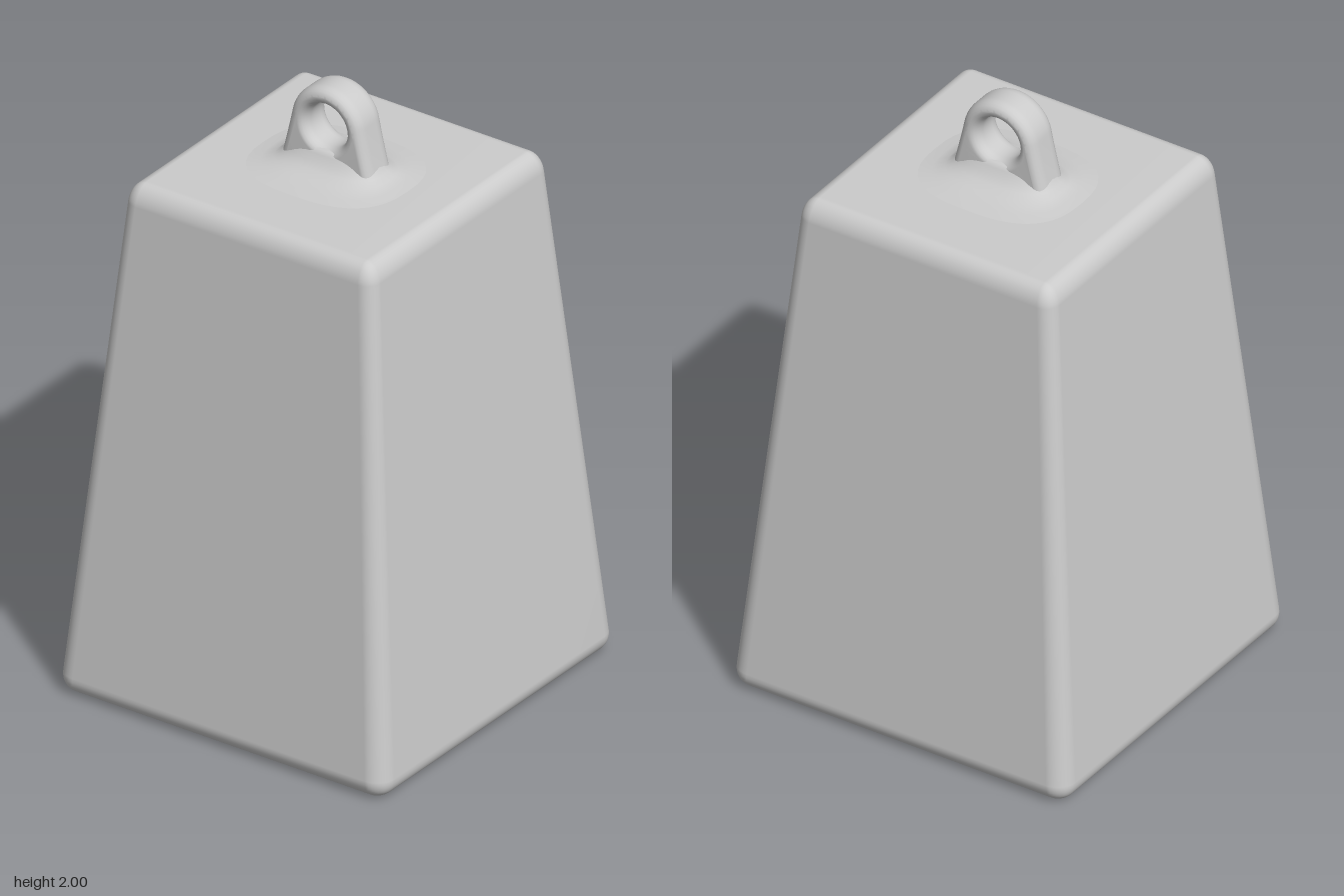
import * as THREE from 'three';
import { mergeVertices } from 'three/addons/utils/BufferGeometryUtils.js';
import { RoundedBoxGeometry } from 'three/addons/geometries/RoundedBoxGeometry.js';

const material = new THREE.MeshStandardMaterial({ color: 0xcccccc });

// Weld the vertices and shade the whole surface smoothly
function smooth(geometry) {
  geometry.deleteAttribute('normal');
  geometry.deleteAttribute('uv');
  geometry.clearGroups();
  const welded = mergeVertices(geometry, 1e-4);
  welded.computeVertexNormals();
  return welded;
}

function addPart(group, name, geometry) {
  const mesh = new THREE.Mesh(geometry, material);
  mesh.name = name;
  group.add(mesh);
}

// Rounded block that narrows towards the top, with a slightly domed underside
function bodyGeometry() {
  const height = 1.71;
  const geo = new RoundedBoxGeometry(1.2, height, 1.2, 5, 0.065);
  geo.translate(0, height / 2, 0);
  const p = geo.attributes.position;
  for (let i = 0; i < p.count; i++) {
    const y = p.getY(i);
    const s = 1.007 - 0.257 * (y / height);
    p.setXYZ(i, p.getX(i) * s, y + 0.004, p.getZ(i) * s);
  }
  return smooth(geo);
}

// Upright eyelet plate with a round hole along x
function eyeletGeometry() {
  const cy = 1.87, r = 0.13, a = 0.2;
  const shape = new THREE.Shape();
  shape.moveTo(-0.17, 1.72);
  shape.quadraticCurveTo(-0.148, 1.8, -r * Math.cos(a), cy + r * Math.sin(a));
  shape.absarc(0, cy, r, Math.PI - a, a, true);
  shape.quadraticCurveTo(0.148, 1.8, 0.17, 1.72);
  shape.closePath();
  const hole = new THREE.Path();
  hole.absarc(0, cy, 0.073, 0, Math.PI * 2, false);
  shape.holes.push(hole);
  const geo = new THREE.ExtrudeGeometry(shape, {
    depth: 0.05, curveSegments: 24, bevelSegments: 5,
    bevelSize: 0.026, bevelOffset: -0.026, bevelThickness: 0.039,
  });
  geo.translate(0, 0, -0.025);
  geo.rotateY(Math.PI / 2);
  return smooth(geo);
}

// Flared fillet that blends the eyelet into the top: rings of [y, half x, half z]
function flareGeometry() {
  const rings = [
    [1.711, 0.25, 0.29], [1.718, 0.18, 0.225], [1.728, 0.13, 0.192], [1.742, 0.1, 0.174],
    [1.76, 0.08, 0.16], [1.78, 0.067, 0.15], [1.793, 0.058, 0.142], [1.795, 0, 0],
  ];
  const n = 40, positions = [], index = [];
  const soft = (v) => Math.sign(v) * Math.pow(Math.abs(v), 0.75);
  rings.forEach(([y, hx, hz], j) => {
    for (let i = 0; i < n; i++) {
      const t = (i / n) * Math.PI * 2;
      positions.push(hx * soft(Math.cos(t)), y, hz * soft(Math.sin(t)));
      if (j === rings.length - 1) continue;
      const a = j * n + i, b = j * n + ((i + 1) % n);
      index.push(a, a + n, b, b, a + n, b + n);
    }
  });
  const geo = new THREE.BufferGeometry();
  geo.setAttribute('position', new THREE.Float32BufferAttribute(positions, 3));
  geo.setIndex(index);
  return smooth(geo);
}

export function createModel() {
  const group = new THREE.Group();
  group.name = 'hangingWeight';
  addPart(group, 'body', bodyGeometry());
  addPart(group, 'eyelet', eyeletGeometry());
  addPart(group, 'eyeletFlare', flareGeometry());
  return group;
}
